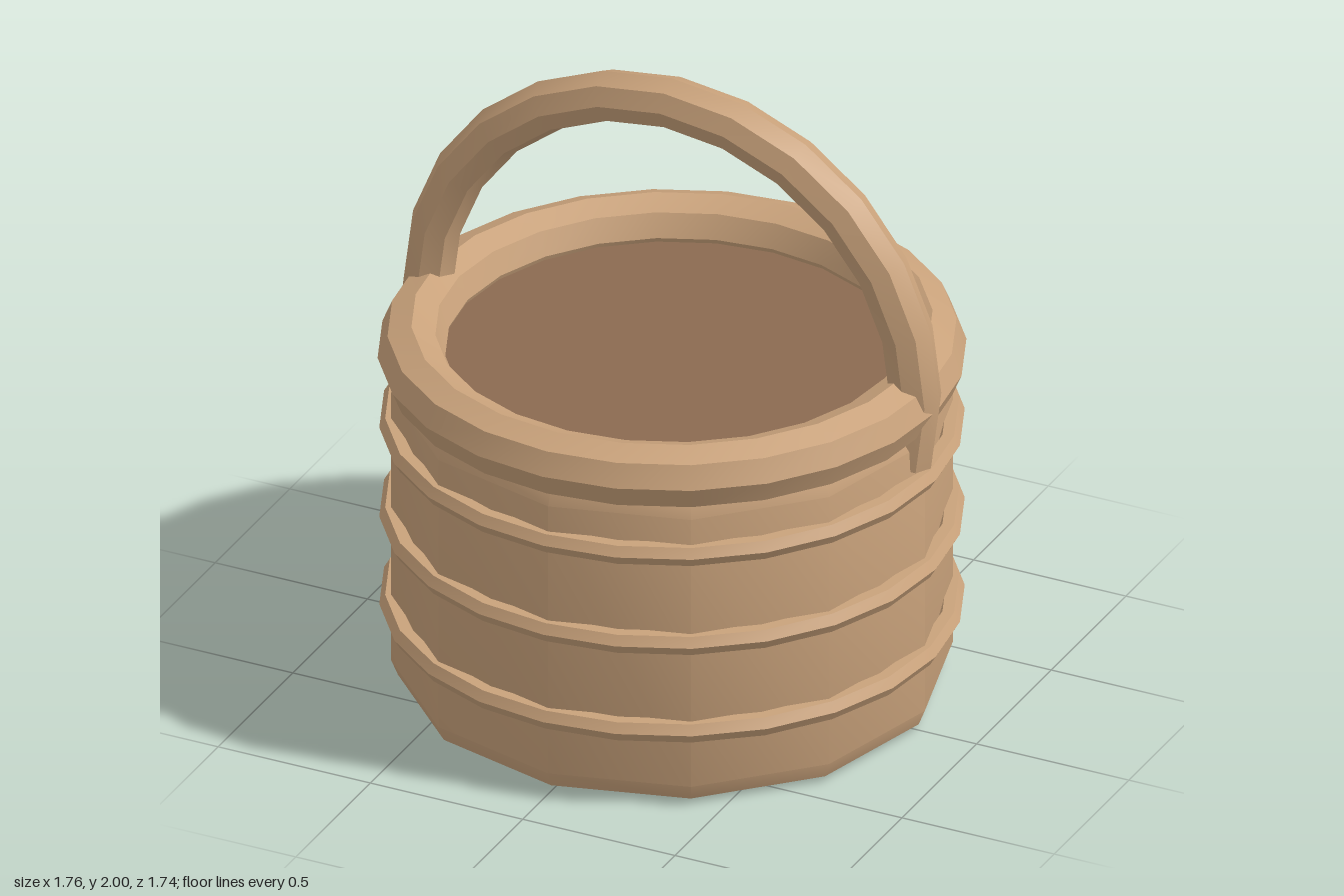
import * as THREE from 'three';
import { toCreasedNormals } from 'three/addons/utils/BufferGeometryUtils.js';

export function createModel() {
  const model = new THREE.Group();
  model.name = 'basket';
  const wicker = new THREE.MeshStandardMaterial({ color: 0xc9a27b });
  wicker.name = 'light wicker';
  const inside = new THREE.MeshStandardMaterial({ color: 0x8b6a51 });
  inside.name = 'dark inside';

  // Soft across shallow facets, sharp across steep edges
  const add = (name, geometry, material = wicker) => {
    const mesh = new THREE.Mesh(toCreasedNormals(geometry, 0.62), material);
    mesh.name = name;
    model.add(mesh);
    return mesh;
  };
  const ring = (name, y, radius, tube, sides) =>
    add(name, new THREE.TorusGeometry(radius, tube, sides, 24).rotateX(Math.PI / 2).translate(0, y, 0));

  // Twelve-sided body with bevelled bottom and top edges
  const profile = [
    [0, 0], [0.76, 0], [0.81, 0.02], [0.83, 0.07],
    [0.83, 0.97], [0.81, 1.02], [0.76, 1.04], [0, 1.04],
  ].map(([r, y]) => new THREE.Vector2(r, y));
  add('body', new THREE.LatheGeometry(profile, 12));

  // Hoops around the body
  [0.26, 0.555, 0.855].forEach((y, i) => ring(`hoop${i + 1}`, y, 0.83, 0.035, 6));

  // Thick rim and the dark surface within it
  ring('rim', 1.09, 0.77, 0.1, 8);
  add('insideDisc', new THREE.CircleGeometry(0.74, 24).rotateX(-Math.PI / 2).translate(0, 1.075, 0), inside);

  // Arched handle running a little below its half circle
  const extra = Math.PI / 12;
  const handleY = 1.12, handleR = 0.8, handleTube = 0.08;
  add('handle', new THREE.TorusGeometry(handleR, handleTube, 8, 14, Math.PI + 2 * extra)
    .rotateZ(-extra).translate(0, handleY, 0));

  // Closed handle ends
  for (const side of [1, -1]) {
    const cap = new THREE.CircleGeometry(handleTube, 8)
      .rotateX(Math.PI / 2).translate(handleR, 0, 0).rotateZ(-extra);
    if (side < 0) cap.rotateY(Math.PI);
    add(side > 0 ? 'leftHandleEnd' : 'rightHandleEnd', cap.translate(0, handleY, 0));
  }
  return model;
}
